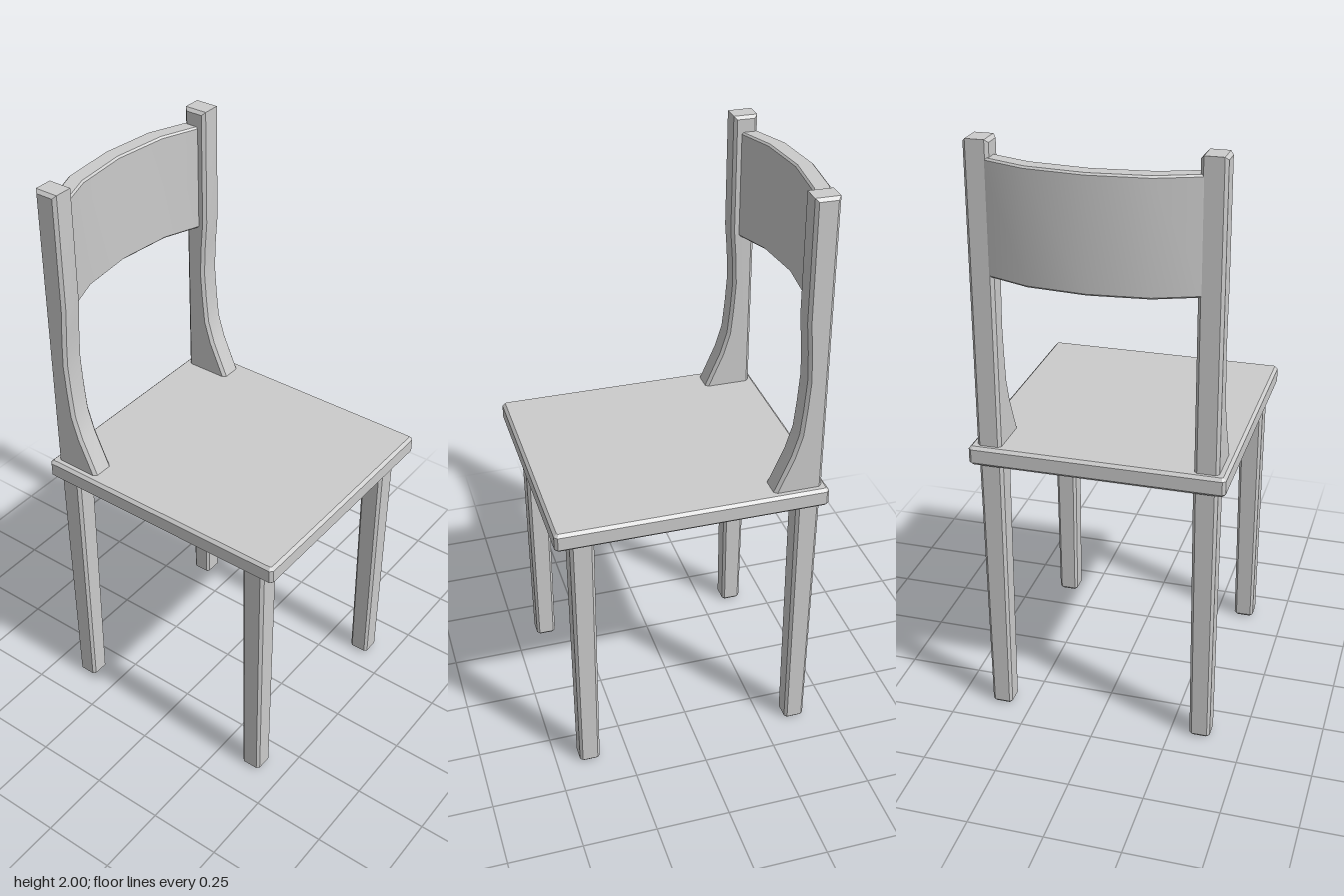
import * as THREE from 'three';
import { toCreasedNormals } from 'three/addons/utils/BufferGeometryUtils.js';

const material = new THREE.MeshStandardMaterial({ color: 0xcccccc });

// Extrude an outline to a total depth, with chamfers kept inside the outline
function chamferedExtrude(points, depth, bevel) {
  const shape = new THREE.Shape(points.map(([x, y]) => new THREE.Vector2(x, y)));
  const geometry = new THREE.ExtrudeGeometry(shape, {
    depth: depth - 2 * bevel, bevelEnabled: true, bevelSegments: 1,
    bevelSize: bevel, bevelThickness: bevel, bevelOffset: -bevel,
  });
  return geometry.translate(0, 0, bevel - depth / 2);
}

// Box with every edge chamfered, centred on x and z, standing on y = 0
function chamferedBox(w, h, d, c) {
  const x = w / 2, z = d / 2;
  const outline = [
    [x, -z + c], [x, z - c], [x - c, z], [-x + c, z],
    [-x, z - c], [-x, -z + c], [-x + c, -z], [x - c, -z],
  ];
  return chamferedExtrude(outline, h, c).rotateX(-Math.PI / 2).translate(0, h / 2, 0);
}

function addMesh(parent, name, geometry, x = 0, y = 0, z = 0) {
  const mesh = new THREE.Mesh(toCreasedNormals(geometry, 0.45), material);
  mesh.name = name;
  mesh.position.set(x, y, z);
  parent.add(mesh);
}

// Leg that narrows slightly towards the floor
function legGeometry() {
  const height = 0.96;
  const geometry = chamferedBox(0.08, height, 0.08, 0.01);
  const p = geometry.attributes.position;
  for (let i = 0; i < p.count; i++) {
    const s = THREE.MathUtils.lerp(0.87, 1, p.getY(i) / height);
    p.setX(i, p.getX(i) * s);
    p.setZ(i, p.getZ(i) * s);
  }
  return geometry;
}

// Back post: side profile in (z, y), flaring forward where it meets the seat
function postGeometry() {
  const profile = [
    [-0.41, 0.97], [-0.235, 0.97], [-0.245, 1.0], [-0.302, 1.13], [-0.326, 1.21],
    [-0.335, 1.3], [-0.342, 1.4], [-0.338, 1.5], [-0.33, 1.6], [-0.33, 2], [-0.41, 2],
  ];
  return chamferedExtrude(profile, 0.08, 0.01).rotateY(-Math.PI / 2);
}

// Backrest: plan outline in (x, -z), bowed to the rear
function backrestGeometry() {
  const front = [[-0.34, 0.347], [-0.19, 0.402], [0, 0.422], [0.19, 0.402], [0.34, 0.347]];
  const rear = [[0.34, 0.405], [0.19, 0.463], [0, 0.482], [-0.19, 0.463], [-0.34, 0.405]];
  return chamferedExtrude([...front, ...rear], 0.367, 0.006).rotateX(-Math.PI / 2);
}

export function createModel() {
  const chair = new THREE.Group();
  chair.name = 'chair';

  addMesh(chair, 'seat', chamferedBox(0.84, 0.066, 0.908, 0.01), 0, 0.94, 0.024);
  addMesh(chair, 'backrest', backrestGeometry(), 0, 1.7625, 0);

  // Legs and posts, mirrored left and right
  for (const [side, sign] of [['left', 1], ['right', -1]]) {
    addMesh(chair, side + 'FrontLeg', legGeometry(), sign * 0.352, 0, 0.385);
    addMesh(chair, side + 'BackLeg', legGeometry(), sign * 0.352, 0, -0.369);
    addMesh(chair, side + 'BackPost', postGeometry(), sign * 0.355, 0, 0);
  }
  return chair;
}
